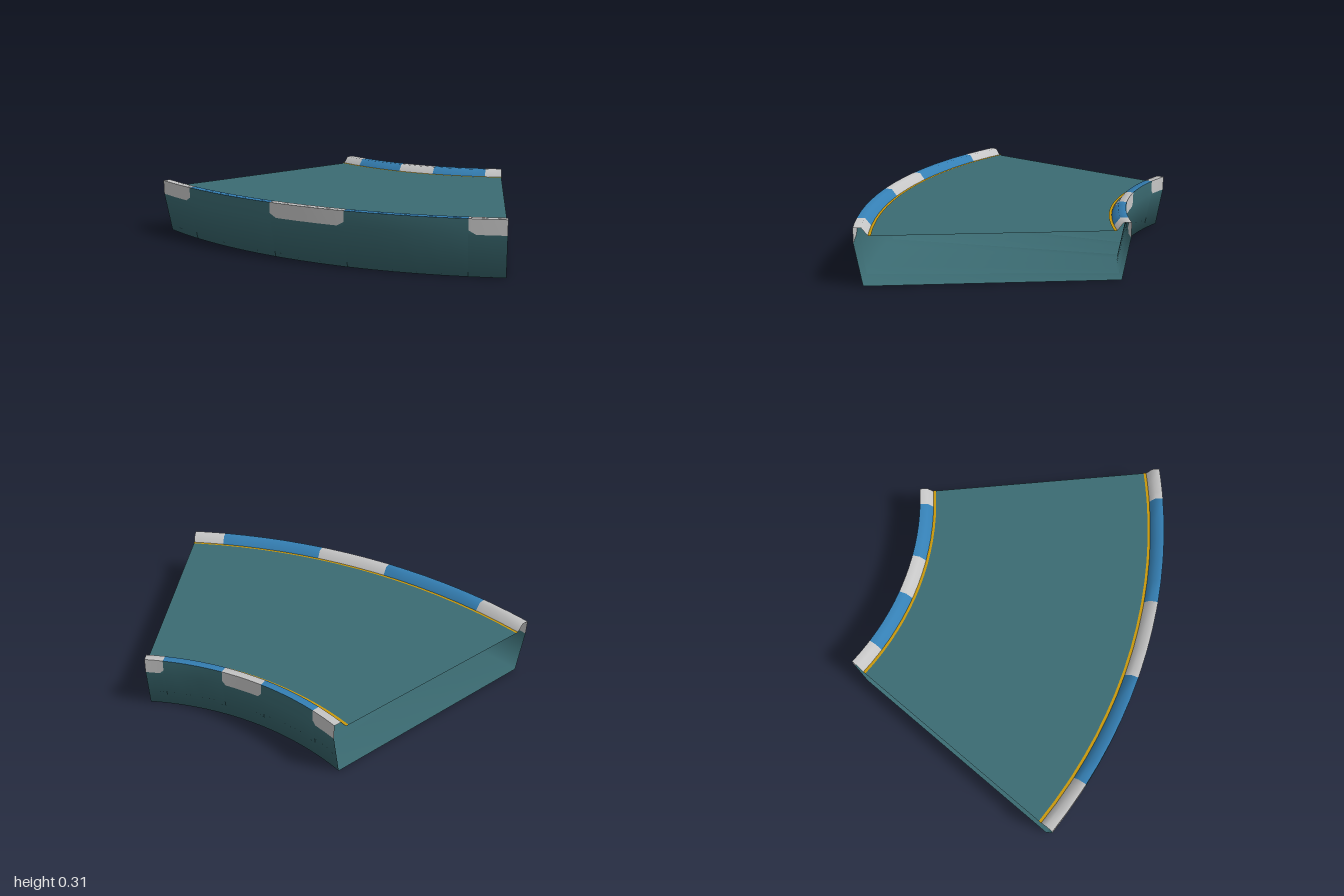
import * as THREE from 'three';

const CX = 1.905, CZ = -1;              // centre of the bend
const OUTER = 2.814, INNER = 1.415;     // rail edge radii
const TOP = 0.305, FLOOR = 0.263, LIP = 0.225, CHAMFER = 0.022;

const mat = (name, color) => {
  const m = new THREE.MeshStandardMaterial({ color, side: THREE.DoubleSide });
  m.name = name;
  return m;
};

// Sweep a cross-section of [radius, height] points around the bend.
// stations: list of { a: degrees, y: lower edge of the rail cladding }
function sweep(name, material, stations, profile) {
  const pos = [], index = [];
  let n = 0;
  for (const s of stations) {
    const a = THREE.MathUtils.degToRad(s.a);
    const pts = profile(s);
    n = pts.length;
    for (const [r, y] of pts) pos.push(CX - r * Math.cos(a), y, CZ + r * Math.sin(a));
  }
  for (let i = 0; i < stations.length - 1; i++) {
    for (let j = 0; j < n - 1; j++) {
      const p = i * n + j, q = p + n;
      index.push(p, p + 1, q, p + 1, q + 1, q);
    }
  }
  const g = new THREE.BufferGeometry();
  g.setAttribute('position', new THREE.Float32BufferAttribute(pos, 3));
  g.setIndex(index);
  g.computeVertexNormals();
  const mesh = new THREE.Mesh(g, material);
  mesh.name = name;
  return mesh;
}

// Stations of one section; plated sections have chamfered lower corners
function section(from, to, plated, radiusSteps) {
  const out = [], c = 0.8;
  const add = (a, y) => out.push({ a, y });
  if (!plated) {
    for (let i = 0; i <= radiusSteps; i++) add(from + (to - from) * i / radiusSteps, TOP);
    return out;
  }
  const a0 = from > 0 ? from + c : from, a1 = to < 45 ? to - c : to;
  if (from > 0) add(from, LIP + CHAMFER);
  for (let i = 0; i <= radiusSteps; i++) add(a0 + (a1 - a0) * i / radiusSteps, LIP);
  if (to < 45) add(to, LIP + CHAMFER);
  return out;
}

export function createModel() {
  const model = new THREE.Group();
  model.name = 'curvedTrack';
  const teal = mat('teal', 0x3b6b72);
  const blue = mat('blue', 0x3580b5);
  const grey = mat('lightGrey', 0xc6c6c6);
  const yellow = mat('amber', 0xc8980c);

  const cuts = [0, 6, 19, 28.1, 41.1, 45];
  const steps = [2, 5, 3, 5, 2];
  const sections = steps.map((n, i) => section(cuts[i], cuts[i + 1], i % 2 === 0, n));
  const all = sections.flat();

  // Hollow trough: both side walls and the underside, open at the ends
  model.add(sweep('sideWallsAndBase', teal, all, s => [
    [INNER, s.y], [INNER, LIP], [INNER + 0.04, 0],
    [OUTER - 0.04, 0], [OUTER, LIP], [OUTER, s.y],
  ]));

  // Road deck
  model.add(sweep('roadDeck', teal, all, () => [[OUTER - 0.074, FLOOR], [INNER + 0.074, FLOOR]]));

  for (const [label, edge, dir] of [['outer', OUTER, -1], ['inner', INNER, 1]]) {
    const rail = new THREE.Group();
    rail.name = label + 'Rail';
    sections.forEach((st, i) => {
      const plated = i % 2 === 0;
      // Kerb top and sloping inner face
      rail.add(sweep(plated ? 'greyKerb' : 'blueKerb', plated ? grey : blue, st, () => [
        [edge, TOP], [edge + dir * 0.042, TOP], [edge + dir * 0.074, FLOOR],
      ]));
      // Cladding plate down the outside
      if (plated) rail.add(sweep('claddingPlate', grey, st, s => [[edge, s.y], [edge, TOP]]));
    });
    // Edge line painted on the deck
    rail.add(sweep('edgeLine', yellow, all, () => [
      [edge + dir * 0.074, FLOOR + 0.003], [edge + dir * 0.089, FLOOR + 0.003],
    ]));
    model.add(rail);
  }
  return model;
}
